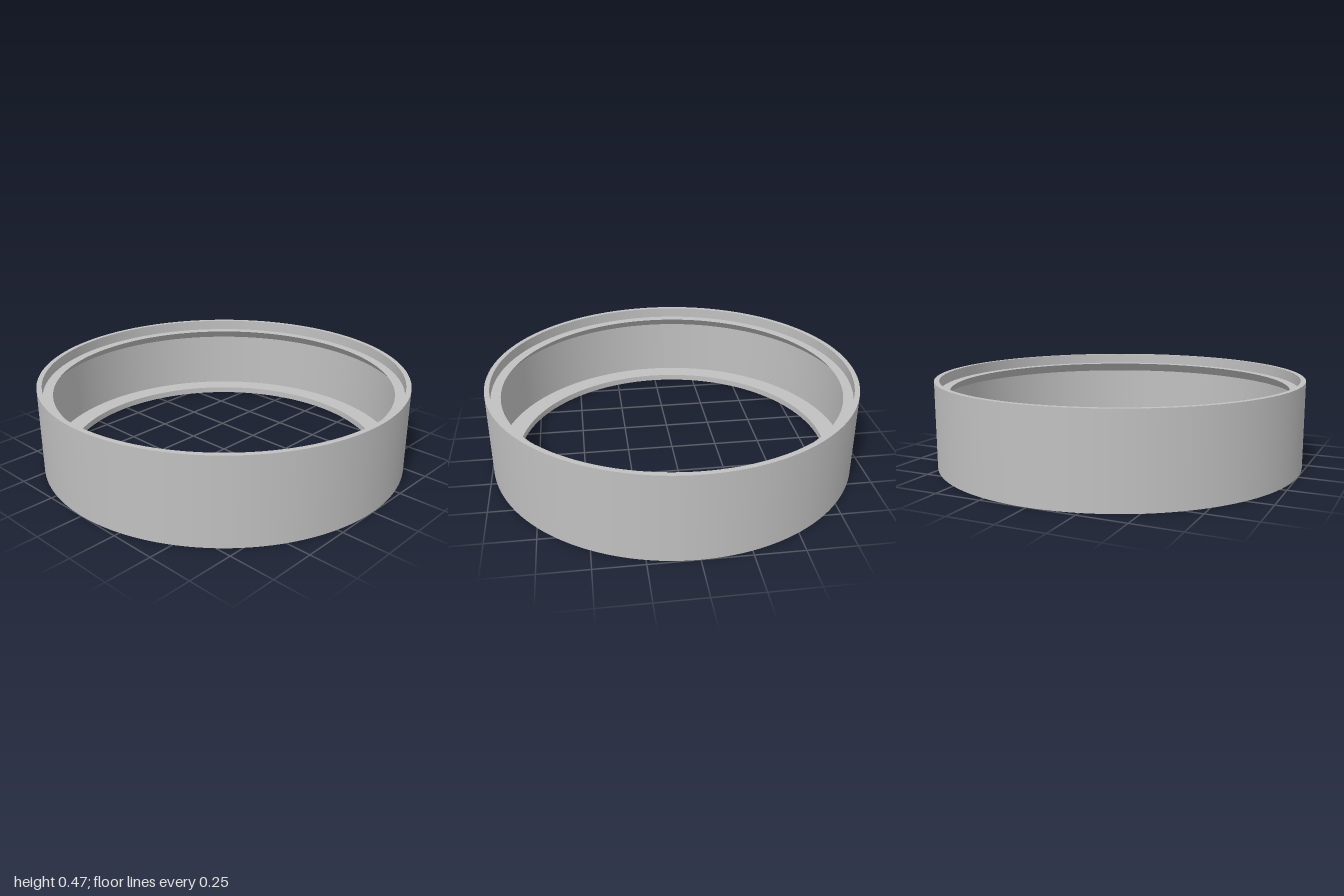
import * as THREE from 'three';

const SEGMENTS = 128;

// Closed ring cross-section [radius, height], counter-clockwise so faces point outwards.
// Each entry is the start of the named face; the face ends at the next entry.
const PROFILE = [
  ['outerWall', 1, 0],
  ['topRim', 1, 0.467],
  ['recessWall', 0.973, 0.467],
  ['recessLedge', 0.973, 0.41],
  ['undercutChamfer', 0.92, 0.41],
  ['innerWall', 0.973, 0.357],
  ['flangeTop', 0.973, 0.035],
  ['flangeBore', 0.863, 0.035],
  ['base', 0.863, 0],
];

export function createModel() {
  const gray = new THREE.MeshStandardMaterial({ color: 0xc0c0c0 });
  gray.name = 'plain gray';

  const ring = new THREE.Group();
  ring.name = 'steppedRing';

  // One lathe per face: smooth around the ring, sharp at profile corners
  PROFILE.forEach(([name, r, y], i) => {
    const [, r2, y2] = PROFILE[(i + 1) % PROFILE.length];
    const points = [new THREE.Vector2(r, y), new THREE.Vector2(r2, y2)];
    const face = new THREE.Mesh(new THREE.LatheGeometry(points, SEGMENTS), gray);
    face.name = name;
    ring.add(face);
  });

  return ring;
}
